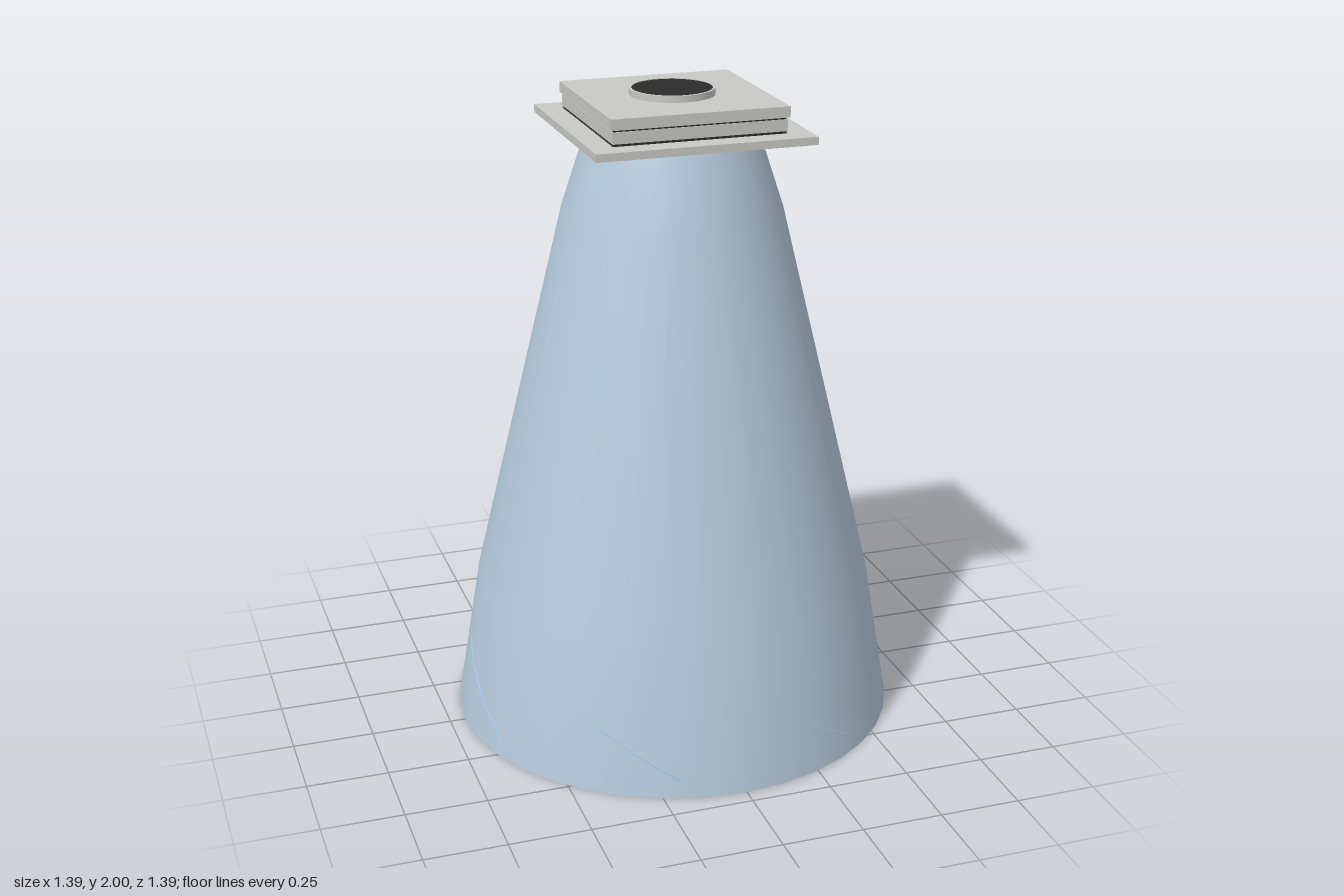
import * as THREE from 'three';

const PROFILE = [[0.697, 0], [0.622, 0.45], [0.335, 1.64], [0.262, 1.862]];

// radius of the tapering shell at height y
function wallRadius(y) {
  for (let i = 1; i < PROFILE.length; i++) {
    const [r0, y0] = PROFILE[i - 1], [r1, y1] = PROFILE[i];
    if (y <= y1) return r0 + (r1 - r0) * (y - y0) / (y1 - y0);
  }
  return PROFILE[PROFILE.length - 1][0];
}

// helical ribbon: pokes just through the wall at the foot, widens inwards as it climbs
function vaneGeometry() {
  const steps = 32, pos = [], idx = [];
  for (let i = 0; i <= steps; i++) {
    const y = 0.055 + 0.9 * i / steps;
    const a = THREE.MathUtils.degToRad(34.5 - (y - 0.06) * 152);
    const wall = wallRadius(y);
    const outer = wall + (y < 0.25 ? 0.008 * (0.25 - y) / 0.19 : -0.002);
    const inner = wall - 0.003 - Math.min(0.2, Math.max(0, y - 0.25) * 0.55);
    for (const r of [outer, inner]) pos.push(r * Math.sin(a), y, r * Math.cos(a));
    if (i < steps) {
      const k = i * 2;
      idx.push(k, k + 1, k + 2, k + 1, k + 3, k + 2);
    }
  }
  const g = new THREE.BufferGeometry();
  g.setAttribute('position', new THREE.Float32BufferAttribute(pos, 3));
  g.setIndex(idx);
  g.computeVertexNormals();
  return g;
}

export function createModel() {
  const model = new THREE.Group();
  model.name = 'ventTower';

  const material = (name, color, side = THREE.FrontSide) => {
    const m = new THREE.MeshStandardMaterial({ color, side });
    m.name = name;
    return m;
  };
  const shellBlue = material('paleShellBlue', 0xb4c8da, THREE.DoubleSide);
  const vaneBlue = material('vaneBlue', 0x9fc5e8, THREE.DoubleSide);
  const capGrey = material('capGrey', 0xc8c8c4);
  const dark = material('darkOpening', 0x2b2b2b);

  const add = (name, geometry, mat, x = 0, y = 0, z = 0) => {
    const mesh = new THREE.Mesh(geometry, mat);
    mesh.name = name;
    mesh.position.set(x, y, z);
    model.add(mesh);
    return mesh;
  };
  const box = (name, mat, w, d, y0, y1, x = 0, z = 0) =>
    add(name, new THREE.BoxGeometry(w, y1 - y0, d), mat, x, (y0 + y1) / 2, z);

  // open tapering shell
  const points = PROFILE.map(([r, y]) => new THREE.Vector2(r, y));
  add('shell', new THREE.LatheGeometry(points, 36), shellBlue);

  // seven spiral guide vanes
  const vane = vaneGeometry();
  for (let i = 0; i < 7; i++) add('guideVane', vane, vaneBlue).rotation.y = i * Math.PI * 2 / 7;

  // square frame under the cap
  for (const s of [-1, 1]) {
    box('frameRail', capGrey, 0.67, 0.068, 1.876, 1.9, 0, s * 0.301);
    box('frameSide', capGrey, 0.068, 0.534, 1.876, 1.9, s * 0.301, 0);
  }

  // louvre slats across the frame opening
  for (let i = -4; i <= 4; i++) box('louvreSlat', capGrey, 0.534, 0.03, 1.88, 1.896, 0, i * 0.056);

  // stacked cap plates with dark gaps
  box('lowerGap', dark, 0.524, 0.524, 1.898, 1.906);
  box('lowerPlate', capGrey, 0.53, 0.53, 1.906, 1.941);
  box('upperGap', dark, 0.524, 0.524, 1.941, 1.947);
  box('upperPlate', capGrey, 0.542, 0.542, 1.947, 1.98);

  // round outlet: collar with a dark disc
  const ring = new THREE.Shape().absarc(0, 0, 0.129, 0, Math.PI * 2);
  ring.holes.push(new THREE.Path().absarc(0, 0, 0.121, 0, Math.PI * 2, true));
  const collar = new THREE.ExtrudeGeometry(ring, { depth: 0.02, bevelEnabled: false, curveSegments: 36 });
  collar.rotateX(-Math.PI / 2);
  add('outletCollar', collar, capGrey, 0, 1.98, 0);
  add('outletOpening', new THREE.CylinderGeometry(0.121, 0.121, 0.018, 36), dark, 0, 1.989, 0);

  model.children.forEach((part) => { part.position.x -= 0.005; part.position.z += 0.002; });
  return model;
}
